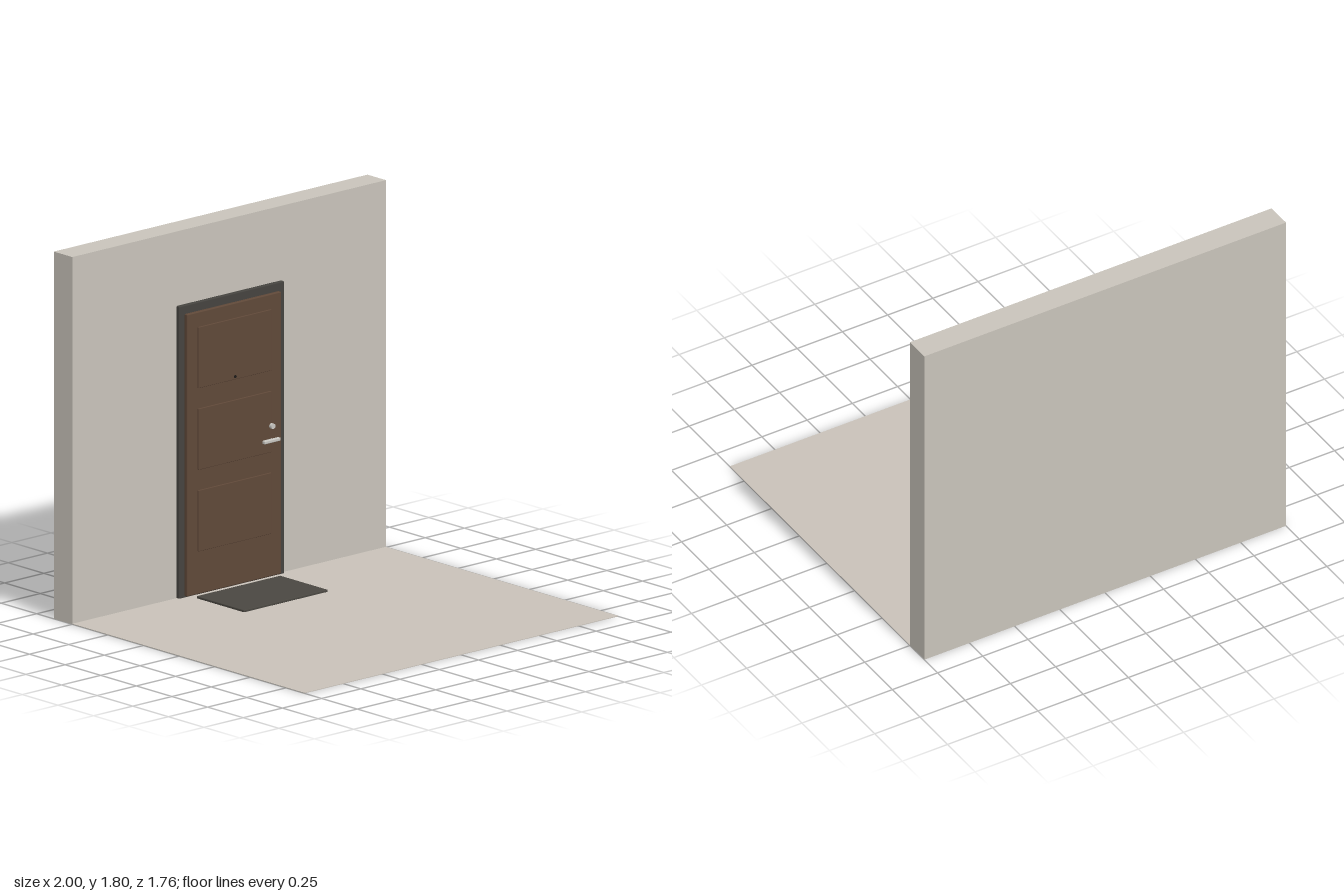
import * as THREE from 'three';
import { RoundedBoxGeometry } from 'three/addons/geometries/RoundedBoxGeometry.js';

const flat = (name, color) => {
  const m = new THREE.MeshStandardMaterial({ color });
  m.name = name;
  return m;
};

export function createModel() {
  const group = new THREE.Group();
  const plaster = flat('plaster', 0xc8c3ba);
  const floorTile = flat('floorStone', 0xc8c1b8);
  const wood = flat('darkWood', 0x5f4838);
  const charcoal = flat('charcoal', 0x45433f);
  const rubber = flat('matRubber', 0x4a4741);
  const metal = flat('brushedMetal', 0xc8c6c0);
  const black = flat('lensBlack', 0x1c1a18);

  // Box given by its extents; r > 0 softens the edges
  const box = (name, mat, [x0, x1], [y0, y1], [z0, z1], r = 0) => {
    const size = [x1 - x0, y1 - y0, z1 - z0];
    const geo = r ? new RoundedBoxGeometry(...size, 2, r) : new THREE.BoxGeometry(...size);
    const mesh = new THREE.Mesh(geo, mat);
    mesh.name = name;
    mesh.position.set((x0 + x1) / 2, (y0 + y1) / 2, (z0 + z1) / 2);
    group.add(mesh);
  };

  // Round part whose axis points out of the door
  const knob = (name, mat, x, y, radius, z0, z1) => {
    const geo = new THREE.CylinderGeometry(radius, radius, z1 - z0, 24).rotateX(Math.PI / 2);
    const mesh = new THREE.Mesh(geo, mat);
    mesh.name = name;
    mesh.position.set(x, y, (z0 + z1) / 2);
    group.add(mesh);
  };

  // Wall and floor
  box('wall', plaster, [-1, 1], [0, 1.8], [-0.88, -0.75]);
  box('floor', floorTile, [-1, 1], [0, 0.003], [-0.75, 0.88]);

  // Door with its surround and three raised panels
  box('doorFrame', charcoal, [-0.335, 0.335], [0.001, 1.435], [-0.755, -0.732], 0.005);
  box('doorLeaf', wood, [-0.3, 0.3], [0.01, 1.393], [-0.735, -0.714], 0.005);
  for (let i = 0; i < 3; i++) {
    const y = 0.22 + i * 0.4;
    box('doorPanel', wood, [-0.233, 0.233], [y, y + 0.3], [-0.72, -0.708], 0.003);
  }

  // Hardware
  knob('peephole', black, 0, 1.035, 0.007, -0.712, -0.704);
  knob('lock', metal, 0.23, 0.75, 0.013, -0.712, -0.692);
  knob('handleStem', metal, 0.23, 0.682, 0.007, -0.712, -0.69);
  box('handleLever', metal, [0.167, 0.27], [0.674, 0.69], [-0.703, -0.683], 0.004);

  // Doormat
  box('doormat', rubber, [-0.267, 0.267], [0.002, 0.014], [-0.685, -0.352], 0.003);

  return group;
}
